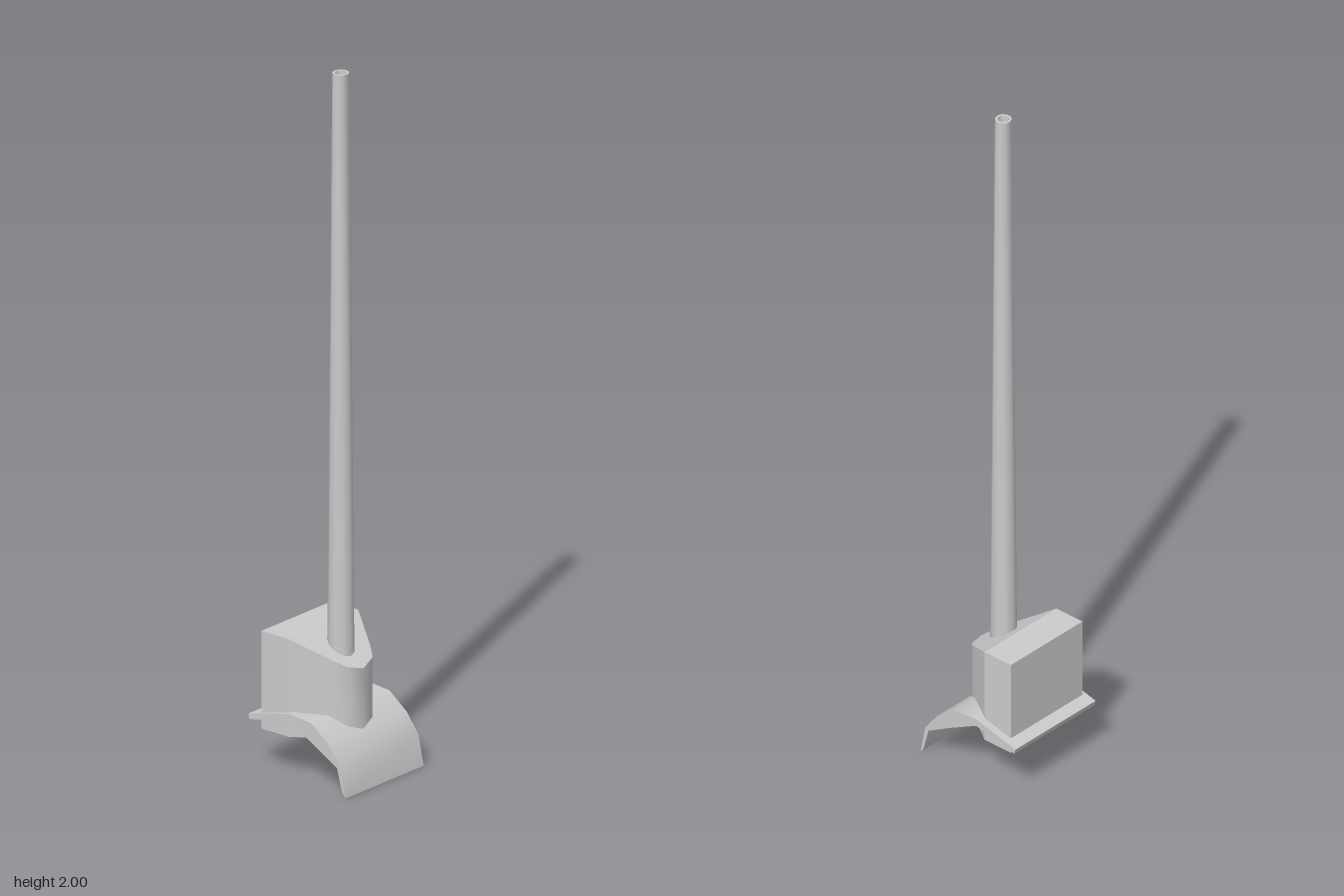
import * as THREE from 'three';
import { toCreasedNormals } from 'three/addons/utils/BufferGeometryUtils.js';

const grey = new THREE.MeshStandardMaterial({ color: 0xcccccc });
const CX = -0.015 / 2 * 2 + 0.0095; // block centre line, slightly off the plate centre

function part(name, geometry, crease) {
  const mesh = new THREE.Mesh(toCreasedNormals(geometry, crease), grey);
  mesh.name = name;
  return mesh;
}

function extrude(points, depth) {
  const shape = new THREE.Shape(points.map(([a, b]) => new THREE.Vector2(a, b)));
  return new THREE.ExtrudeGeometry(shape, { depth, bevelEnabled: false });
}

export function createModel() {
  const model = new THREE.Group();

  // Bent plate: (z, y) section swept across the width
  const plate = extrude([
    [0.17, 0], [0.152, 0.085], [0.11, 0.14], [0.05, 0.185], [-0.03, 0.192], [-0.172, 0.157],
    [-0.168, 0.142], [-0.03, 0.171], [0.065, 0.122], [0.14, 0.08], [0.158, 0.015],
  ], 0.32);
  plate.rotateY(-Math.PI / 2).translate(0.16, 0, 0);
  model.add(part('curvedPlate', plate, 0.7));

  // Rear half of the socket block
  const rear = new THREE.BoxGeometry(0.286, 0.28, 0.094);
  rear.translate(CX, 0.26, -0.088);
  model.add(part('rearBlock', rear, 0.5));

  // Tapered nose of the block, with a top that slopes down to the front
  const half = [[0.143, -0.041], [0.075, 0.06], [0.05, 0.09]];
  const outline = [...half, [-0.009, 0.108], ...half.map(([x, z]) => [-x, z]).reverse()];
  const nose = extrude(outline.map(([x, z]) => [x + CX, -z]), 0.28);
  nose.rotateX(-Math.PI / 2).translate(0, 0.12, 0);
  const p = nose.attributes.position;
  for (let i = 0; i < p.count; i++) {
    if (p.getY(i) > 0.3) p.setY(i, 0.4 - (p.getZ(i) + 0.041) * 0.575);
  }
  model.add(part('noseBlock', nose, 0.8));

  // Tapered ten-sided pole with a recessed tip
  const profile = [[0, 0.3], [0.037, 0.3], [0.023, 2], [0.016, 2], [0.015, 1.97], [0, 1.96]];
  const pole = new THREE.LatheGeometry(profile.map(([r, y]) => new THREE.Vector2(r, y)), 10);
  pole.translate(-0.014, 0, 0.028);
  model.add(part('pole', pole, 0.7));

  return model;
}
